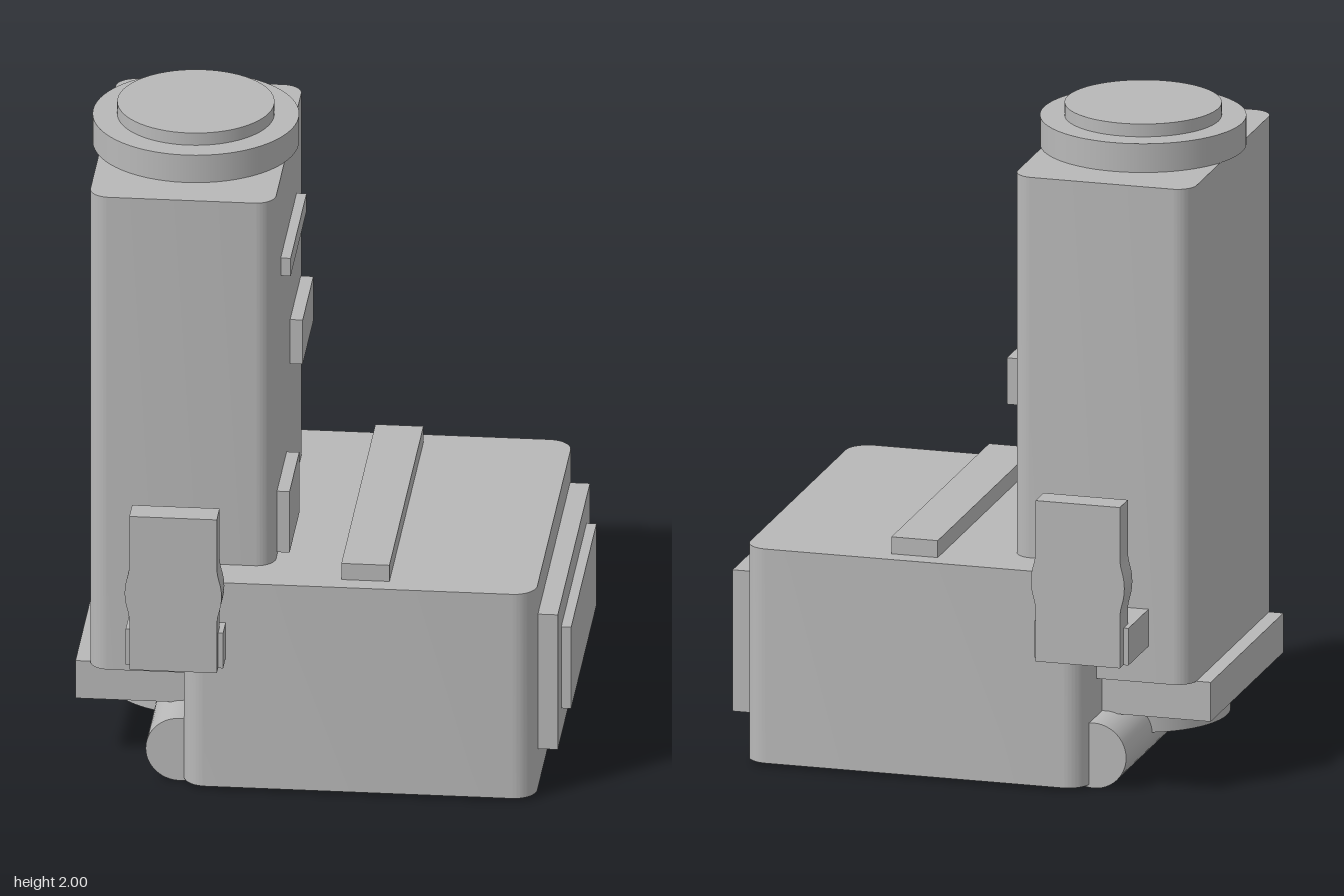
import * as THREE from 'three';
import { toCreasedNormals } from 'three/addons/utils/BufferGeometryUtils.js';

export function createModel() {
  const root = new THREE.Group();
  root.name = 'pocketDevice';
  const grey = new THREE.MeshStandardMaterial({ color: 0xb8b8b8 });
  grey.name = 'plain grey';

  const add = (name, geometry, x = 0, y = 0, z = 0) => {
    const mesh = new THREE.Mesh(geometry, grey);
    mesh.name = name;
    mesh.position.set(x, y, z);
    root.add(mesh);
    return mesh;
  };

  // Box given by its limits
  const box = (name, x0, x1, y0, y1, z0, z1) =>
    add(name, new THREE.BoxGeometry(x1 - x0, y1 - y0, z1 - z0),
      (x0 + x1) / 2, (y0 + y1) / 2, (z0 + z1) / 2);

  // Upright block with rounded vertical edges
  const roundedBlock = (name, x0, x1, y0, y1, halfZ, r) => {
    const s = new THREE.Shape();
    s.moveTo(x0 + r, -halfZ);
    s.lineTo(x1 - r, -halfZ);
    s.absarc(x1 - r, -halfZ + r, r, -Math.PI / 2, 0);
    s.absarc(x1 - r, halfZ - r, r, 0, Math.PI / 2);
    s.absarc(x0 + r, halfZ - r, r, Math.PI / 2, Math.PI);
    s.absarc(x0 + r, -halfZ + r, r, Math.PI, Math.PI * 1.5);
    const g = new THREE.ExtrudeGeometry(s, { depth: y1 - y0, bevelEnabled: false, curveSegments: 10 });
    g.rotateX(-Math.PI / 2);
    return add(name, toCreasedNormals(g, 0.5), 0, y0, 0);
  };

  const disc = (name, x, y0, y1, r) =>
    add(name, new THREE.CylinderGeometry(r, r, y1 - y0, 64), x, (y0 + y1) / 2, 0);

  // Main bodies
  roundedBlock('base', -0.41, 0.655, 0.01, 0.68, 0.577, 0.07);
  roundedBlock('tower', -0.705, -0.145, 0.32, 1.87, 0.442, 0.06);

  // Stepped cap on the tower
  disc('capRim', -0.425, 1.87, 1.96, 0.31);
  disc('capTop', -0.425, 1.96, 2.0, 0.236);

  // Underside plate, dial and hinge
  box('footPlate', -0.75, -0.3, 0.197, 0.32, -0.385, 0.385);
  disc('dial', -0.425, 0.105, 0.197, 0.263);
  const hinge = add('hinge', new THREE.CylinderGeometry(0.102, 0.102, 1.04, 48), -0.423, 0.102, 0);
  hinge.rotation.x = Math.PI / 2;

  // Raised keys on the tower
  box('slotKey', -0.16, -0.115, 1.547, 1.605, -0.24, 0.243);
  box('upperKey', -0.16, -0.107, 1.132, 1.277, -0.368, -0.043);
  box('lowerKey', -0.16, -0.107, 0.69, 0.89, 0.063, 0.357);

  // Base bar and stepped end panel
  box('topBar', 0.065, 0.21, 0.67, 0.733, -0.518, 0.518);
  box('endPanel', 0.64, 0.715, 0.138, 0.58, -0.49, 0.49);
  box('endPanelInset', 0.7, 0.745, 0.228, 0.495, -0.386, 0.386);

  // Side clips with a slight swelling at mid height
  const clip = new THREE.Shape();
  clip.moveTo(-0.132, 0.435);
  clip.lineTo(0.132, 0.435);
  clip.lineTo(0.132, 0.59);
  clip.bezierCurveTo(0.132, 0.63, 0.146, 0.64, 0.146, 0.685);
  clip.bezierCurveTo(0.146, 0.73, 0.132, 0.74, 0.132, 0.78);
  clip.lineTo(0.132, 0.938);
  clip.lineTo(-0.132, 0.938);
  clip.lineTo(-0.132, 0.78);
  clip.bezierCurveTo(-0.132, 0.74, -0.146, 0.73, -0.146, 0.685);
  clip.bezierCurveTo(-0.146, 0.64, -0.132, 0.63, -0.132, 0.59);
  const clipGeometry = toCreasedNormals(
    new THREE.ExtrudeGeometry(clip, { depth: 0.085, bevelEnabled: false, curveSegments: 8 }), 0.6);
  for (const side of [1, -1]) {
    const label = side > 0 ? 'front' : 'back';
    add(label + 'Clip', clipGeometry, -0.425, 0, side > 0 ? 0.61 : -0.695);
    const arm = [0.4 * side, 0.655 * side].sort((a, b) => a - b);
    box(label + 'ClipArm', -0.572, -0.278, 0.434, 0.55, arm[0], arm[1]);
  }

  return root;
}
